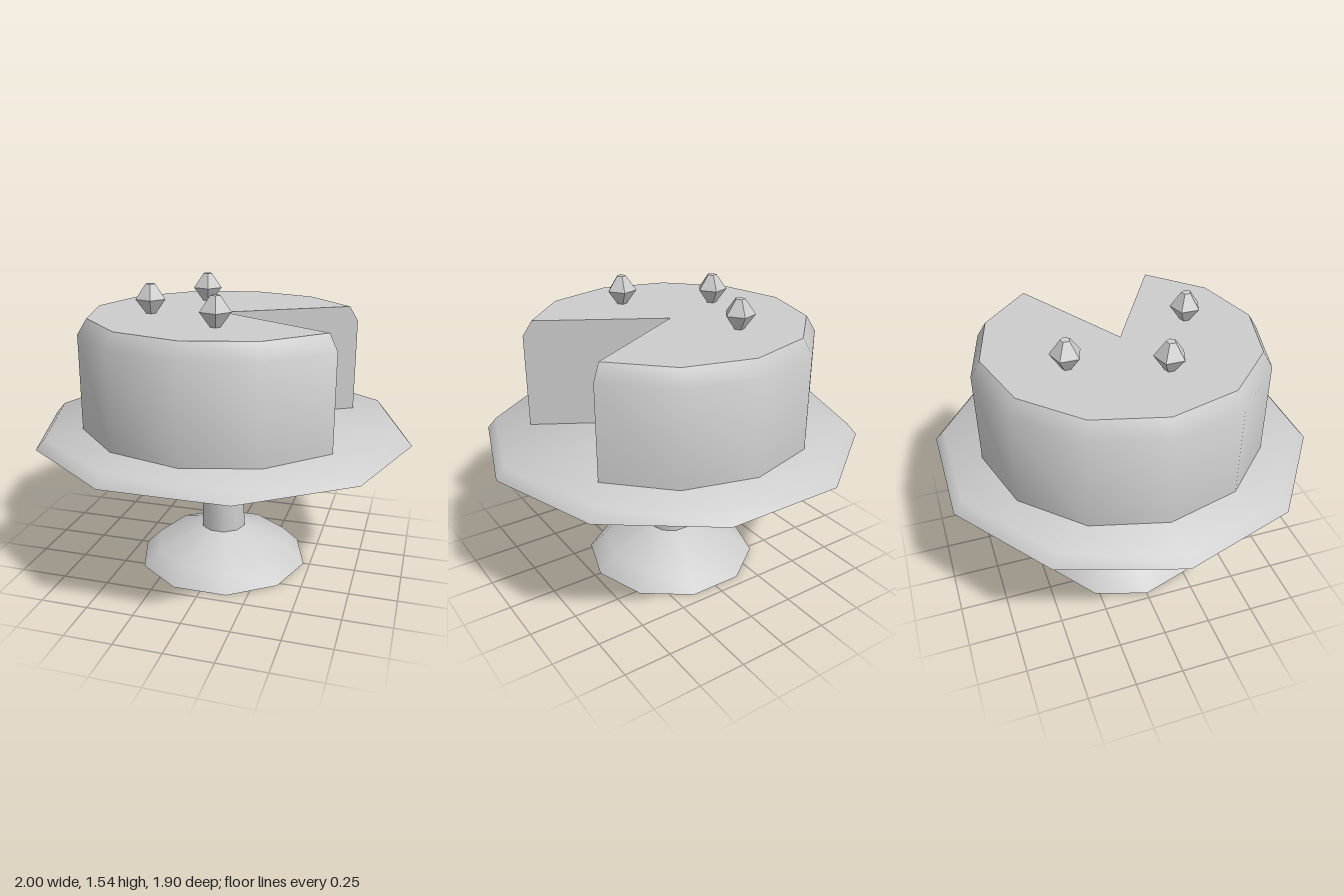
import * as THREE from 'three';
import { toCreasedNormals } from 'three/addons/utils/BufferGeometryUtils.js';

const rad = THREE.MathUtils.degToRad;

export function createModel() {
  const root = new THREE.Group();
  const clay = new THREE.MeshStandardMaterial({ color: 0xcccccc });
  clay.name = 'pale grey';

  function add(parent, name, geometry) {
    const mesh = new THREE.Mesh(geometry, clay);
    mesh.name = name;
    parent.add(mesh);
    return mesh;
  }

  // Faceted turned part: profile of [radius, y] from bottom to top
  function turned(profile, sides, start = 90, sweep = 360) {
    const points = profile.map(([r, y]) => new THREE.Vector2(r, y));
    const geometry = new THREE.LatheGeometry(points, sides, rad(start), rad(sweep));
    return toCreasedNormals(geometry, rad(55));
  }

  // Stand: foot, stem and ten-sided plate
  const stand = new THREE.Group();
  stand.name = 'cakeStand';
  root.add(stand);
  add(stand, 'foot', turned([[0, 0], [0.466, 0], [0.375, 0.09], [0.123, 0.19]], 10));
  add(stand, 'stem', turned([[0.123, 0.19], [0.112, 0.63]], 10));
  add(stand, 'plate', turned([[0.112, 0.63], [0.29, 0.715], [1, 0.757], [0.95, 0.815], [0, 0.815]], 10));

  // Cake: twelve-sided with a two-segment wedge removed toward +x
  const cake = new THREE.Group();
  cake.name = 'cake';
  root.add(cake);
  const side = [[0.75, 0.815], [0.75, 1.31], [0.7, 1.39], [0, 1.39]];
  add(cake, 'cakeBody', turned(side, 10, 120, 300));

  // Flat cut faces either side of the missing slice
  for (const [sign, turn, name] of [[1, 30, 'backCutFace'], [-1, 150, 'frontCutFace']]) {
    const outline = [[0, 0.815], ...side].map(([r, y]) => new THREE.Vector2(sign * r, y));
    add(cake, name, new THREE.ShapeGeometry(new THREE.Shape(outline))).rotation.y = rad(turn);
  }

  // Cherries: five-sided gems with small flat ends
  const cherry = turned([[0, 0], [0.025, 0], [0.08, 0.076], [0.025, 0.152], [0, 0.152]], 5);
  for (const [x, z] of [[-0.186, -0.325], [-0.35, 0.125], [0.068, 0.37]]) {
    add(root, 'cherry', cherry).position.set(x, 1.388, z);
  }

  return root;
}
